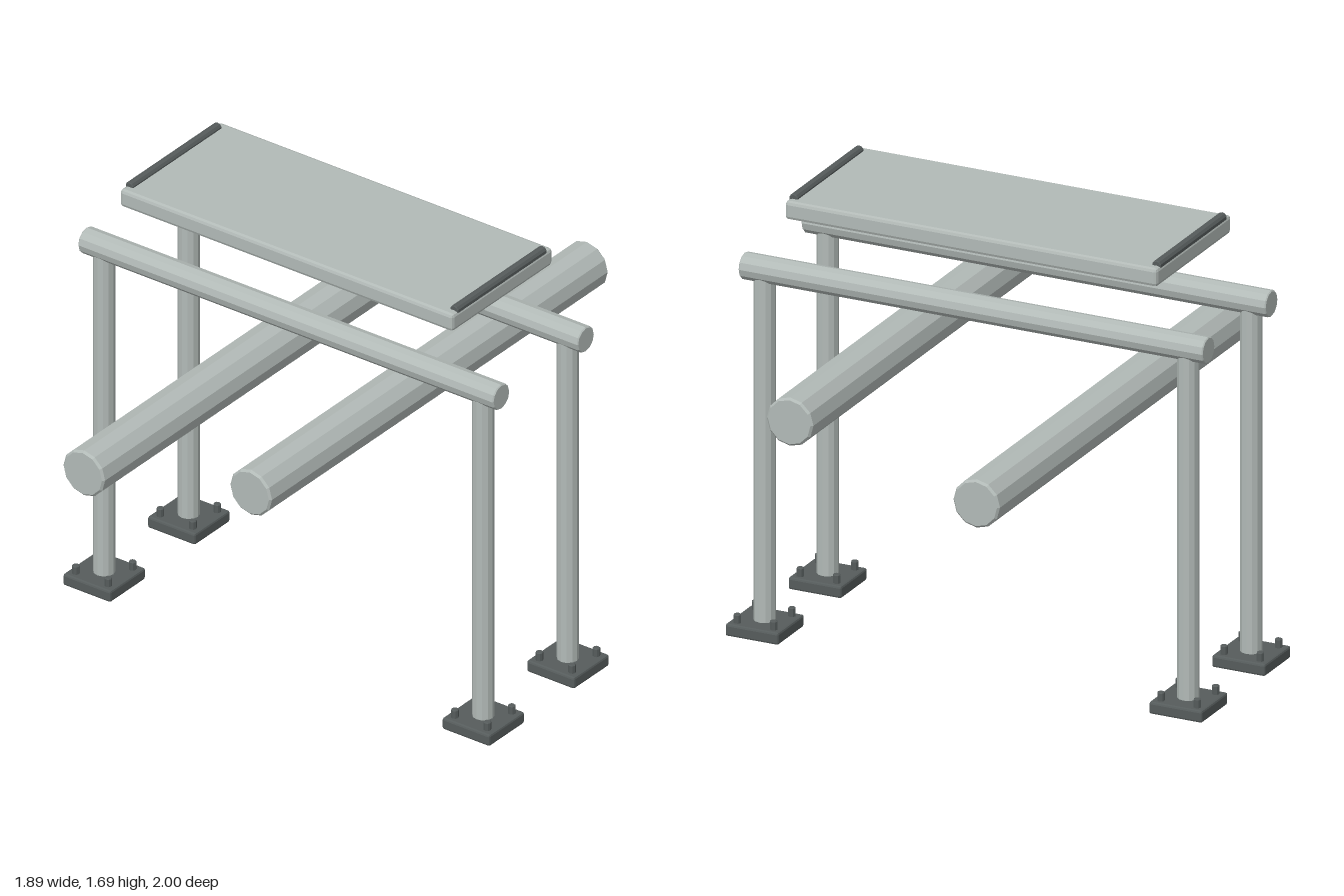
import * as THREE from 'three';
import { RoundedBoxGeometry } from 'three/addons/geometries/RoundedBoxGeometry.js';

const SIDES = 12;

export function createModel() {
  const model = new THREE.Group();
  model.name = 'tubeFrameBench';
  const light = new THREE.MeshStandardMaterial({ color: 0xb2bab7, flatShading: true });
  const dark = new THREE.MeshStandardMaterial({ color: 0x565c5c, flatShading: true });

  const add = (parent, name, geometry, material, x, y, z) => {
    const mesh = new THREE.Mesh(geometry, material);
    mesh.name = name;
    mesh.position.set(x, y, z);
    parent.add(mesh);
    return mesh;
  };

  // Faceted solid rod along y with chamfered ends
  const rod = (radius, length, chamfer, sides = SIDES) => {
    const h = length / 2;
    return new THREE.LatheGeometry([
      new THREE.Vector2(0, -h),
      new THREE.Vector2(radius - chamfer, -h),
      new THREE.Vector2(radius, -h + chamfer),
      new THREE.Vector2(radius, h - chamfer),
      new THREE.Vector2(radius - chamfer, h),
      new THREE.Vector2(0, h),
    ], sides);
  };

  // Box with a single-step chamfer on every edge
  const chamferBox = (w, h, d, c) => new RoundedBoxGeometry(w, h, d, 1, c);

  // Four legs on bolted foot plates
  const plate = chamferBox(0.21, 0.046, 0.21, 0.008);
  const bolt = rod(0.014, 0.06, 0.003, 8);
  const leg = rod(0.04, 1.345, 0.004);
  for (const sx of [-1, 1]) {
    for (const sz of [-1, 1]) {
      const post = new THREE.Group();
      post.name = `${sz > 0 ? 'front' : 'back'}${sx > 0 ? 'Left' : 'Right'}Leg`;
      post.position.set(sx * 0.838, 0, sz * 0.25);
      add(post, 'footPlate', plate, dark, 0, 0.023, 0);
      add(post, 'post', leg, light, 0, 0.0375 + 1.345 / 2, 0);
      for (const bx of [-1, 1]) {
        for (const bz of [-1, 1]) add(post, 'bolt', bolt, dark, bx * 0.072, 0.049, bz * 0.072);
      }
      model.add(post);
    }
  }

  // Horizontal rails joining the legs
  for (const sz of [-1, 1]) {
    const name = sz > 0 ? 'frontRail' : 'backRail';
    add(model, name, rod(0.05, 1.836, 0.004), light, 0, 1.38, sz * 0.25).rotation.z = Math.PI / 2;
  }

  // Two thick free-standing poles running front to back
  const pole = rod(0.092, 2, 0.008);
  add(model, 'lowerPole', pole, light, -0.371, 0.964, 0).rotation.x = Math.PI / 2;
  add(model, 'upperPole', pole, light, 0.367, 1.145, 0).rotation.x = Math.PI / 2;

  // Top board with a thin edge strip at each end
  add(model, 'board', chamferBox(1.472, 0.07, 0.594, 0.013), light, 0, 1.637, 0);
  for (const sx of [-1, 1]) {
    const name = sx > 0 ? 'leftEdgeStrip' : 'rightEdgeStrip';
    add(model, name, rod(0.018, 0.526, 0.003, 10), dark, sx * 0.718, 1.672, 0).rotation.x = Math.PI / 2;
  }

  return model;
}
